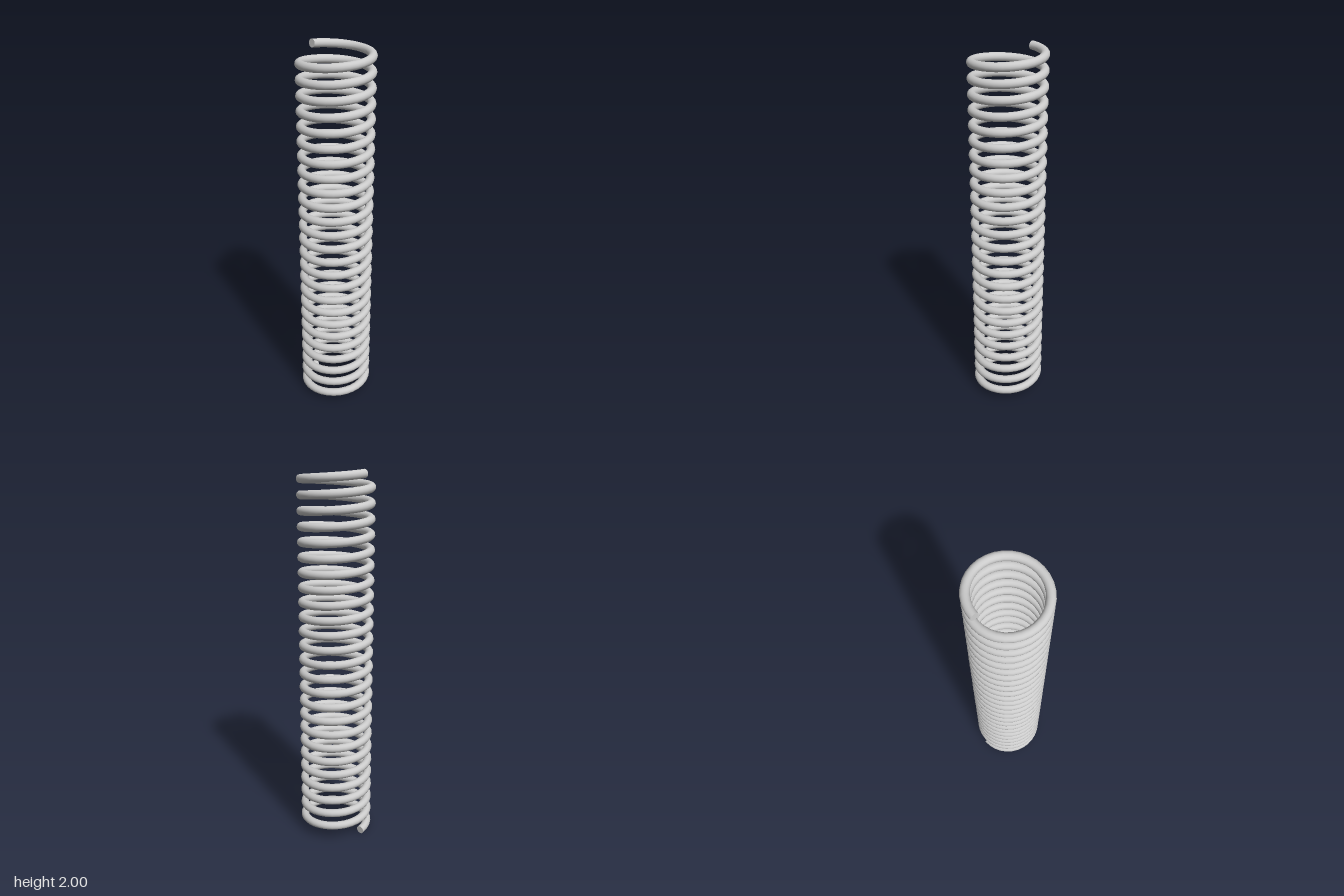
import * as THREE from 'three';

const TURNS = 25, WIRE = 0.022, RADIUS = 0.2 - WIRE, HEIGHT = 2;
const STEPS_PER_TURN = 32, SIDES = 16;

// Centre line of the wire, rising from -x through the front (+z)
class Helix extends THREE.Curve {
  getPoint(t, target = new THREE.Vector3()) {
    const a = t * TURNS * Math.PI * 2;
    return target.set(-RADIUS * Math.cos(a), WIRE + t * (HEIGHT - 2 * WIRE), RADIUS * Math.sin(a));
  }
  getTangent(t, target = new THREE.Vector3()) {
    const w = TURNS * Math.PI * 2, a = t * w;
    return target.set(RADIUS * w * Math.sin(a), HEIGHT - 2 * WIRE, RADIUS * w * Math.cos(a)).normalize();
  }
}

export function createModel() {
  const spring = new THREE.Group();
  spring.name = 'coilSpring';
  const material = new THREE.MeshStandardMaterial({ color: 0xcccccc });
  const helix = new Helix();

  // Coiled wire
  const coil = new THREE.Mesh(
    new THREE.TubeGeometry(helix, TURNS * STEPS_PER_TURN, WIRE, SIDES, false), material);
  coil.name = 'coil';
  spring.add(coil);

  // Flat discs closing the two wire ends
  for (const [name, t, sign] of [['bottomEnd', 0, -1], ['topEnd', 1, 1]]) {
    const cap = new THREE.Mesh(new THREE.CircleGeometry(WIRE, SIDES), material);
    cap.name = name;
    cap.position.copy(helix.getPoint(t));
    cap.quaternion.setFromUnitVectors(
      new THREE.Vector3(0, 0, 1), helix.getTangent(t).multiplyScalar(sign));
    spring.add(cap);
  }
  return spring;
}
